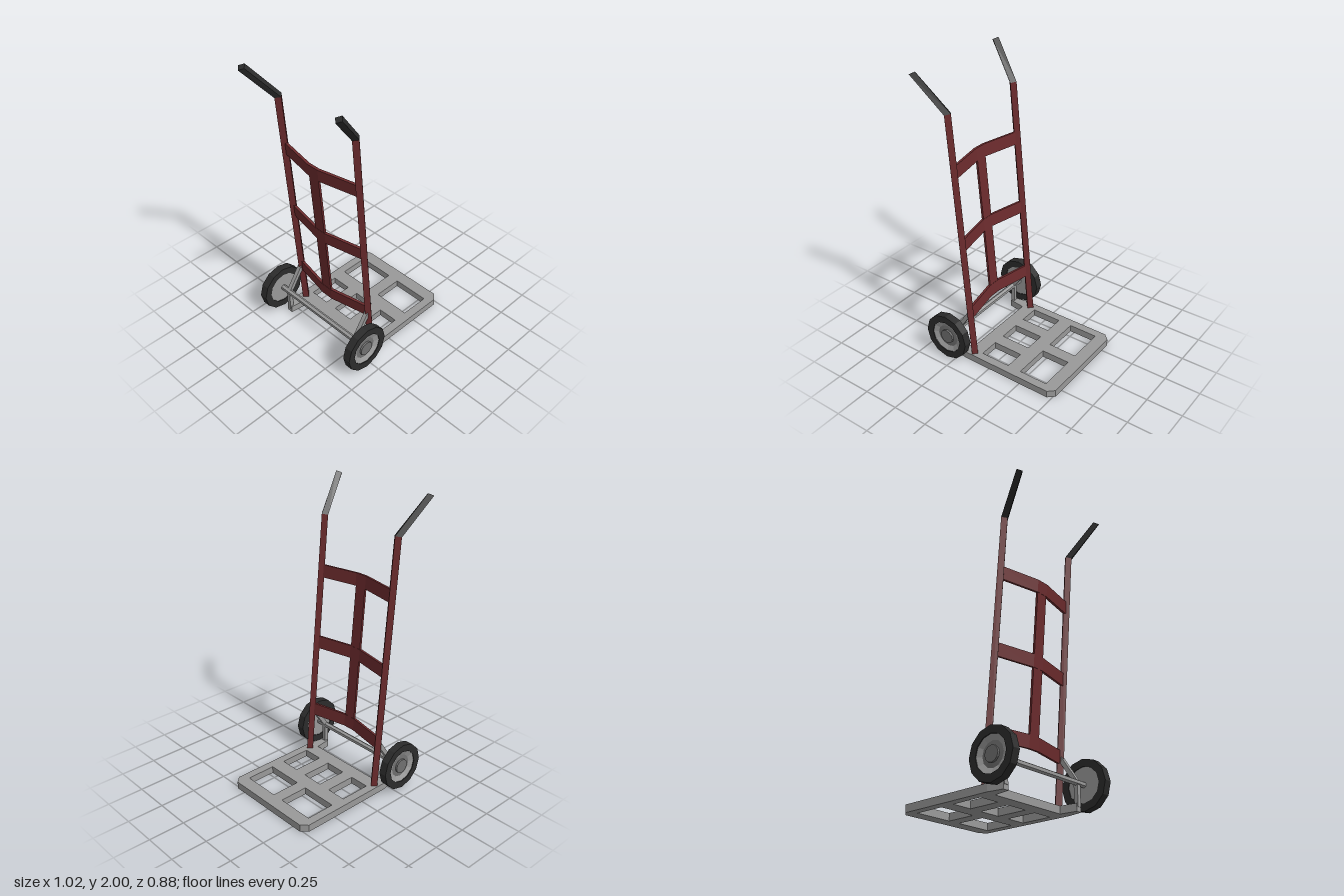
import * as THREE from 'three';

const mat = (name, color) => Object.assign(new THREE.MeshStandardMaterial({ color }), { name });

// Flat-shaded skin over matching rings of corners, with closed ends
function loft(rings) {
  const tris = [];
  const n = rings[0].length, last = rings[rings.length - 1];
  for (let i = 0; i < rings.length - 1; i++) {
    for (let j = 0; j < n; j++) {
      const k = (j + 1) % n;
      const [a, b, c, d] = [rings[i][j], rings[i][k], rings[i + 1][k], rings[i + 1][j]];
      tris.push([a, b, c], [a, c, d]);
    }
  }
  for (let j = 1; j < n - 1; j++) {
    tris.push([rings[0][0], rings[0][j + 1], rings[0][j]], [last[0], last[j], last[j + 1]]);
  }
  // A negative enclosed volume means the skin is inside out
  const volume = tris.reduce((s, [a, b, c]) => s + a.dot(b.clone().cross(c)), 0);
  const pos = [];
  for (const [a, b, c] of tris) for (const p of volume < 0 ? [a, c, b] : [a, b, c]) pos.push(p.x, p.y, p.z);
  const geo = new THREE.BufferGeometry();
  geo.setAttribute('position', new THREE.Float32BufferAttribute(pos, 3));
  geo.computeVertexNormals();
  return geo;
}

const V = (x, y, z) => new THREE.Vector3(x, y, z);

// Diamond ring: half-diagonal (ux, uy) in the side plane and w along z
const diamond = (x, y, z, ux, uy, w) =>
  [V(x + ux, y + uy, z), V(x, y, z + w), V(x - ux, y - uy, z), V(x, y, z - w)];

// Square ring for a strut running in the side plane
const square = (x, y, z, ux, uy, w) =>
  [V(x + ux, y + uy, z + w), V(x - ux, y - uy, z + w), V(x - ux, y - uy, z - w), V(x + ux, y + uy, z - w)];

// Centre line of the leaning uprights
const railX = (y) => -0.147 - 0.0865 * (y - 0.05);

function flatLathe(points, sides) {
  const geo = new THREE.LatheGeometry(points.map(([r, y]) => new THREE.Vector2(r, y)), sides).toNonIndexed();
  geo.computeVertexNormals();
  return geo;
}

export function createModel() {
  const model = new THREE.Group();
  model.name = 'handTruck';
  const red = mat('red paint', 0x6c2b2d);
  const black = mat('black rubber', 0x2b2b2b);
  const steel = mat('grey steel', 0x999999);
  const darkSteel = mat('dark steel', 0x707070);
  const add = (name, geo, material, parent = model) => {
    const mesh = new THREE.Mesh(geo, material);
    mesh.name = name;
    parent.add(mesh);
    return mesh;
  };

  // Toe plate with chamfered front corners, rear tabs and five openings
  const half = [[0.512, 0.32], [0.47, 0.36], [-0.2, 0.36], [-0.305, 0.342], [-0.305, 0.3], [-0.19, 0.285]];
  const outline = [...half, ...half.map(([x, z]) => [x, -z]).reverse()];
  const shape = new THREE.Shape(outline.map(([x, z]) => new THREE.Vector2(x, z)));
  const openings = [
    [-0.095, 0.12, 0.163, 0.303], [-0.095, 0.12, -0.075, 0.075], [-0.095, 0.12, -0.303, -0.163],
    [0.22, 0.424, 0.042, 0.303], [0.22, 0.424, -0.303, -0.042],
  ];
  for (const [x0, x1, z0, z1] of openings) {
    shape.holes.push(new THREE.Path([[x0, z0], [x0, z1], [x1, z1], [x1, z0]].map((p) => new THREE.Vector2(...p))));
  }
  const plate = new THREE.ExtrudeGeometry(shape, { depth: 0.05, bevelEnabled: false });
  plate.rotateX(-Math.PI / 2);
  add('toePlate', plate, steel);

  // Bowed crossbars, leaning with the uprights
  for (const y of [0.363, 0.872, 1.377]) {
    const ring = (z, back) => [[-1, -1], [1, -1], [1, 1], [-1, 1]].map(([sx, sy]) => {
      const py = y + sy * 0.043;
      return V(railX(py) - back + sx * 0.009, py + sx * 0.001, z);
    });
    add('crossbar', loft([ring(-0.318, 0), ring(-0.043, 0.056), ring(0.043, 0.056), ring(0.318, 0)]), red);
  }

  // Central upright slat
  add('centreSlat', loft([0.34, 1.4].map((y) => square(railX(y) - 0.056, y, 0, 0.0075, 0, 0.041))), red);

  // Axle
  const axle = new THREE.CylinderGeometry(0.02, 0.02, 0.78, 6).toNonIndexed();
  axle.computeVertexNormals();
  axle.rotateX(Math.PI / 2);
  add('axle', axle, steel).position.set(-0.297, 0.18, 0);

  for (const s of [1, -1]) {
    const side = s > 0 ? 'left' : 'right';
    const z = 0.323 * s;

    // Four-sided upright and its splayed grip
    const bend = diamond(-0.294, 1.755, z, 0.028, 0.007, 0.03);
    add(side + 'Upright', loft([diamond(-0.147, 0.04, z, 0.029, 0, 0.03), bend]), red);
    add(side + 'Grip', loft([bend, diamond(-0.487, 1.987, 0.395 * s, 0.025, 0.013, 0.027)]), black);

    // Axle bracket: a post from the plate and a brace to the upright
    add(side + 'AxlePost', loft([0.03, 0.19].map((y) => square(-0.295, y, z, 0.014, 0, 0.014))), steel);
    add(side + 'AxleBrace', loft([[-0.297, 0.18], [-0.18, 0.355]].map(([x, y]) =>
      square(x, y, z, 0.012, -0.008, 0.014))), steel);

    // Wheel: tyre, dished rim and hub
    const wheel = new THREE.Group();
    wheel.name = side + 'Wheel';
    wheel.position.set(-0.297, 0.18, 0.411 * s);
    wheel.rotation.x = (s * Math.PI) / 2;
    model.add(wheel);
    add('tyre', flatLathe([[0.115, -0.027], [0.165, -0.027], [0.165, 0.027], [0.115, 0.027], [0.115, -0.027]], 12), black, wheel);
    add('rim', flatLathe([[0, -0.022], [0.116, -0.022], [0.116, 0.022], [0.08, 0.006], [0, 0.006]], 12), steel, wheel);
    add('hub', flatLathe([[0.08, 0.007], [0.05, 0.009], [0.05, 0.022], [0, 0.022]], 12), darkSteel, wheel);
  }
  return model;
}
